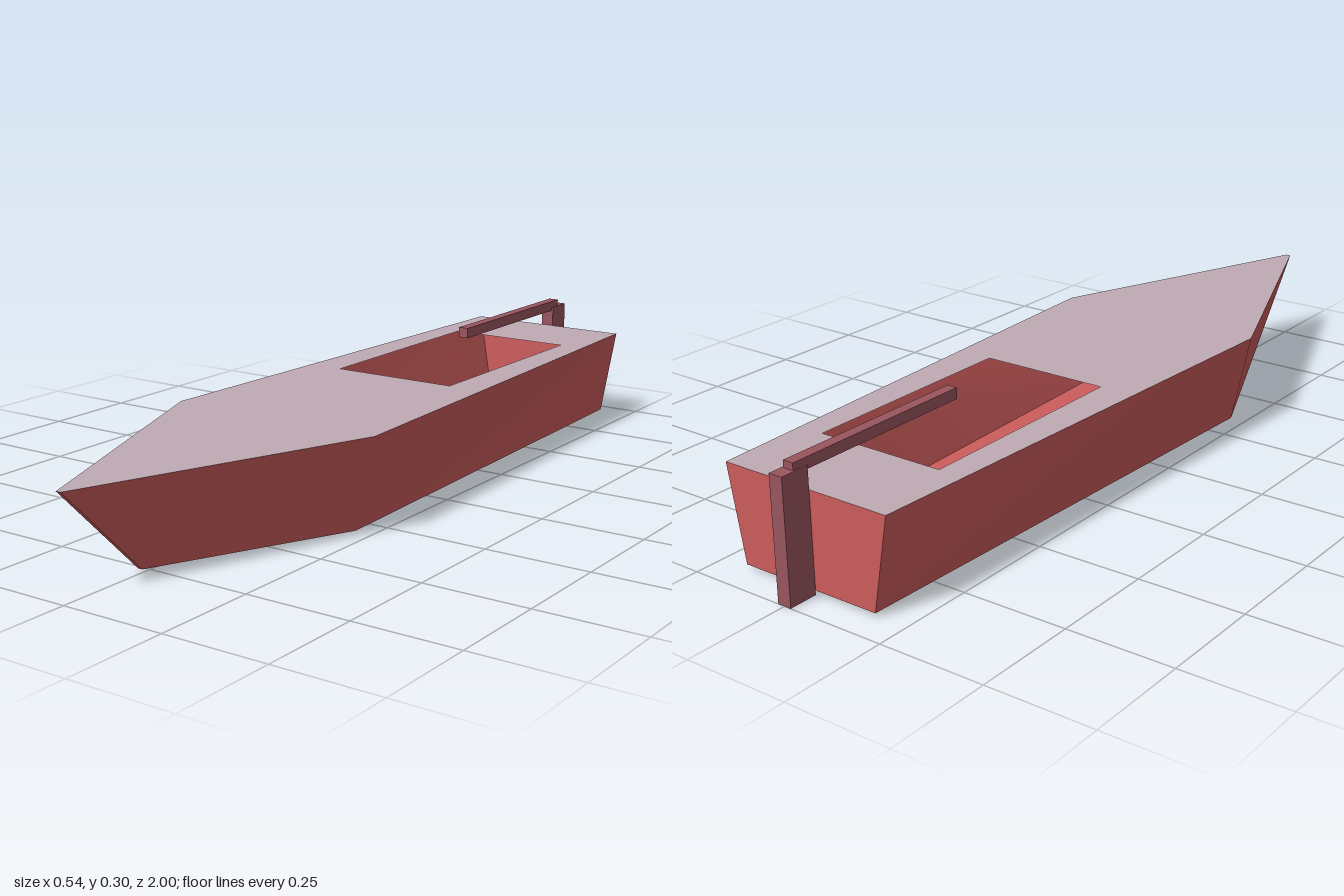
import * as THREE from 'three';
import { toCreasedNormals } from 'three/addons/utils/BufferGeometryUtils.js';

const DECK_Y = 0.23, KEEL_Y = 0.01;

// Deck outline as [x, z], from the right stern corner round the bow to the left stern corner
const OUTLINE = [[-0.215, -0.93], [-0.27, 0.33], [-0.006, 1], [0.006, 1], [0.27, 0.33], [0.215, -0.93]];

function hullGeometry() {
  const upper = OUTLINE.map(([x, z]) => [x, DECK_Y, z]);
  // The bottom is narrower and its bow is raked back
  const lower = OUTLINE.map(([x, z]) => [Math.abs(x) < 0.1 ? x : x * 0.82, KEEL_Y, z === 1 ? 0.78 : z]);
  const n = OUTLINE.length;
  const p = [];
  // Sides, stem and transom
  for (let i = 0; i < n; i++) {
    const j = (i + 1) % n;
    p.push(...lower[i], ...lower[j], ...upper[j], ...lower[i], ...upper[j], ...upper[i]);
  }
  // Bottom fan
  for (let i = 1; i < n - 1; i++) p.push(...lower[0], ...lower[i + 1], ...lower[i]);
  const g = new THREE.BufferGeometry();
  g.setAttribute('position', new THREE.Float32BufferAttribute(p, 3));
  return toCreasedNormals(g, 0.5);
}

function deckGeometry() {
  const toPoints = (list) => list.map(([x, z]) => new THREE.Vector2(x, -z));
  const shape = new THREE.Shape(toPoints(OUTLINE));
  // Cockpit opening into the hollow hull
  shape.holes.push(new THREE.Path(toPoints([[-0.16, -0.71], [0.16, -0.71], [0.16, -0.15], [-0.16, -0.15]])));
  return new THREE.ShapeGeometry(shape).rotateX(-Math.PI / 2).translate(0, DECK_Y, 0);
}

// Box given by its minimum and maximum corners
function boxBetween(a, b) {
  return new THREE.BoxGeometry(b[0] - a[0], b[1] - a[1], b[2] - a[2])
    .translate((a[0] + b[0]) / 2, (a[1] + b[1]) / 2, (a[2] + b[2]) / 2);
}

export function createModel() {
  const material = (name, color, side = THREE.FrontSide) => {
    const m = new THREE.MeshStandardMaterial({ color, side });
    m.name = name;
    return m;
  };
  const red = material('hullRed', 0xcd5c5c, THREE.DoubleSide);
  const mauve = material('deckMauve', 0xc0aab3, THREE.DoubleSide);
  const wood = material('rudderBrown', 0x99555e);

  const boat = new THREE.Group();
  boat.name = 'boat';
  const add = (name, geometry, mat) => {
    const mesh = new THREE.Mesh(geometry, mat);
    mesh.name = name;
    boat.add(mesh);
  };

  add('hull', hullGeometry(), red);
  add('deck', deckGeometry(), mauve);
  add('rudder', boxBetween([-0.017, 0, -1], [0.017, 0.282, -0.93]), wood);
  add('tiller', boxBetween([-0.013, 0.272, -0.965], [0.013, 0.298, -0.475]), wood);
  return boat;
}
